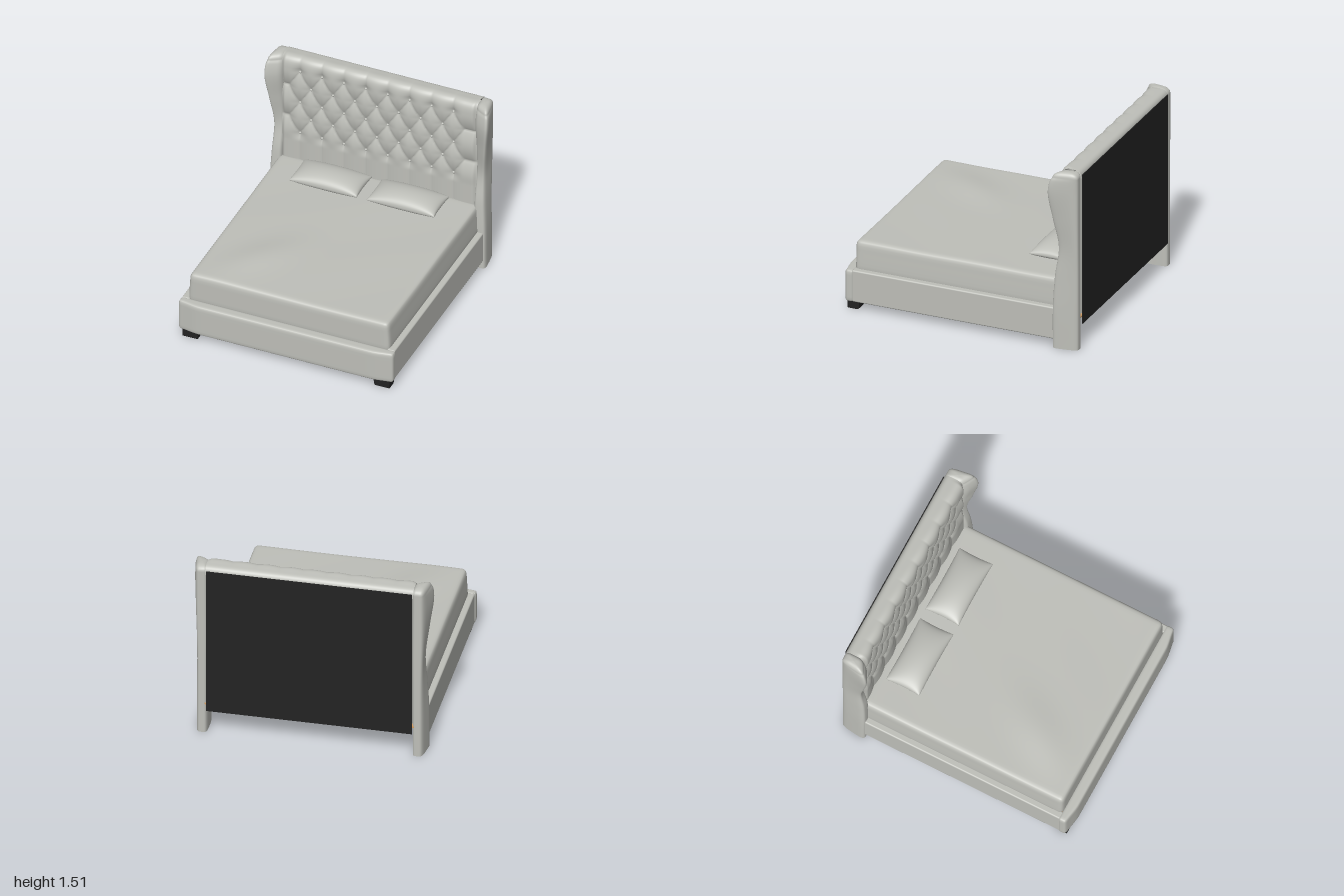
import * as THREE from 'three';
import { mergeVertices } from 'three/addons/utils/BufferGeometryUtils.js';
import { RoundedBoxGeometry } from 'three/addons/geometries/RoundedBoxGeometry.js';

const { clamp, lerp, smoothstep } = THREE.MathUtils;
const softPow = (c, e) => Math.sign(c) * Math.pow(Math.abs(c), e);

const material = (name, color, side = THREE.FrontSide) => {
  const m = new THREE.MeshStandardMaterial({ color, side });
  m.name = name;
  return m;
};

// Move every vertex of a geometry by a rule and rebuild smooth normals
function warp(geometry, rule) {
  const p = geometry.attributes.position, v = new THREE.Vector3();
  for (let i = 0; i < p.count; i++) {
    v.fromBufferAttribute(p, i);
    rule(v);
    p.setXYZ(i, v.x, v.y, v.z);
  }
  geometry.computeVertexNormals();
  return geometry;
}

// Box welded into one skin, so that warping keeps it smooth
function weldedBox(nx, ny, nz) {
  const g = new THREE.BoxGeometry(2, 2, 2, nx, ny, nz);
  g.deleteAttribute('uv');
  g.deleteAttribute('normal');
  return mergeVertices(g);
}

// Upholstered block: rounded edges, then an extra shaping rule
function softBox(half, r, segments, rule) {
  const dense = (u) => u * (1.5 - 0.5 * u * u);
  const inner = half.clone().subScalar(r), low = inner.clone().negate(), core = new THREE.Vector3();
  return warp(weldedBox(...segments), (v) => {
    v.set(dense(v.x), dense(v.y), dense(v.z)).multiply(half);
    core.copy(v).clamp(low, inner);
    v.sub(core).normalize().multiplyScalar(r).add(core);
    rule(v);
  });
}

// Mattress with slightly sloping sides and a softly rumpled top
const mattressGeometry = () => softBox(new THREE.Vector3(0.853, 0.135, 0.885), 0.04, [40, 12, 40], (v) => {
  const top = smoothstep(v.y, 0.08, 0.135);
  const fold = Math.exp(-(((v.x + 0.45 - (0.5 - v.z) * 0.5) / 0.2) ** 2) - ((v.z - 0.45) / 0.3) ** 2);
  v.x *= 1 - 0.012 * smoothstep(v.y, -0.1, 0.135);
  v.y += top * (0.024 * fold + 0.003 * Math.sin(5 * v.x + 4 * v.z) * Math.sin(3 * v.z));
});

// Foot rail whose front falls back a little towards both ends
const frontRailGeometry = () => softBox(new THREE.Vector3(0.908, 0.135, 0.046), 0.024, [48, 12, 12], (v) => {
  v.z -= 0.025 * smoothstep(Math.abs(v.x), 0.72, 0.92) * smoothstep(v.z, -0.046, 0.046);
});

// Pillow: thick in the middle, flat pinched rim, flatter underneath
function pillowGeometry() {
  return warp(weldedBox(32, 2, 24), (v) => {
    const u = Math.sin(v.x * Math.PI / 2), w = Math.sin(v.z * Math.PI / 2);
    const puff = Math.pow((1 - u * u) * (1 - w * w), 0.45);
    v.x = 0.285 * u * (1 - 0.03 * (1 - w * w));
    v.z = 0.146 * w * (1 - 0.03 * (1 - u * u));
    v.y *= 0.003 + (v.y > 0 ? 0.077 : 0.052) * puff;
  });
}

// Diamond tufting, running out into shallow seams above and below
const TUFT = { x: -0.672, y: 0.805, dx: 0.1855, dy: 0.29 };
function tuftHeight(x, y) {
  const u = clamp((x - TUFT.x) / TUFT.dx, -0.5, 7.5);
  const row = (y - TUFT.y) / TUFT.dy, w = clamp(row, 0, 2);
  const a = Math.abs(Math.sin(Math.PI * (u + w))), b = Math.abs(Math.sin(Math.PI * (u - w)));
  const h = 0.02 * Math.sqrt(a * b) + 0.018 * Math.sqrt(Math.max(a, b));
  return lerp(h, 0.034, 0.65 * smoothstep(Math.abs(row - w), 0, 0.25));
}

// Headboard cushion: a sheet running up the front and rolling over to the back
const FRONT_Z = -0.851;
function cushionGeometry() {
  const bottom = 0.29, bend = 1.435, r = 0.072, rise = bend - bottom, length = rise + r * Math.PI;
  return warp(new THREE.PlaneGeometry(1.65, length, 200, 130), (v) => {
    const t = v.y + length / 2;
    const angle = clamp((t - rise) / r, 0, Math.PI);
    const edge = 0.4 + 0.6 * smoothstep(0.825 - Math.abs(v.x), 0, 0.03);
    const d = edge * Math.max(0, 1 - angle / 1.65) * tuftHeight(v.x, bottom + t);
    v.y = bottom + Math.min(t, rise) + (r + d) * softPow(Math.sin(angle), 0.7);
    v.z = FRONT_Z - r + (r + d) * softPow(Math.cos(angle), 0.7);
  });
}

// Wing: rounded cross-sections stacked along a flowing outer/front edge line
function wingGeometry(side) {
  const edge = new THREE.CatmullRomCurve3([
    [0.922, 0, -0.782], [0.92, 0.35, -0.782], [0.907, 0.6, -0.795], [0.895, 0.85, -0.82],
    [0.924, 1.1, -0.773], [0.956, 1.33, -0.739], [0.95, 1.43, -0.757], [0.938, 1.46, -0.775],
  ].map((p) => new THREE.Vector3(...p)));
  const rings = edge.getPoints(48).map((p) => ({ p, s: 1 }));
  rings.unshift({ p: rings[0].p, s: 0 }, { p: rings[0].p, s: 1 });
  const last = edge.getPoint(1);
  for (let k = 1; k <= 8; k++) {
    const a = k / 8 * Math.PI / 2;
    const p = new THREE.Vector3(last.x, last.y + 0.045 * Math.sin(a), last.z);
    rings.push({ p, s: k === 8 ? 0 : Math.pow(Math.cos(a), 0.7) });
  }
  const n = 40, pos = [], index = [];
  rings.forEach(({ p, s }, j) => {
    for (let i = 0; i < n; i++) {
      const a = side * i / n * Math.PI * 2;
      const across = 0.5 + 0.5 * s * softPow(Math.cos(a), 0.48), along = 0.5 + 0.5 * s * softPow(Math.sin(a), 0.48);
      const tall = smoothstep(p.y, 0.6, 1.2);
      const outer = lerp(0.895 + 0.01 * tall, p.x, along);
      const front = p.z - tall * 0.07 * (1 - across);
      pos.push(side * lerp(0.812, outer, across), p.y, lerp(-0.992, front, along));
      if (j === rings.length - 1) continue;
      const q = j * n + i, q1 = j * n + (i + 1) % n;
      index.push(q, q + n, q1, q1, q + n, q1 + n);
    }
  });
  const g = new THREE.BufferGeometry();
  g.setAttribute('position', new THREE.Float32BufferAttribute(pos, 3));
  g.setIndex(index);
  g.computeVertexNormals();
  return g;
}

// Foot: bevelled block tapering towards the floor on its inner side
function footGeometry(side) {
  const shape = new THREE.Shape([[0.755, 0.008], [0.868, 0.008], [0.872, 0.08], [0.742, 0.08]]
    .map(([x, y]) => new THREE.Vector2(side * x, y)));
  return new THREE.ExtrudeGeometry(shape, {
    depth: 0.07, bevelEnabled: true, bevelSize: 0.008, bevelThickness: 0.015, bevelSegments: 2,
  });
}

export function createModel() {
  const fabric = material('grey fabric', 0xbebfb9);
  const fabricSheet = material('grey fabric sheet', 0xbebfb9, THREE.DoubleSide);
  const dark = material('black lining', 0x232323);
  const wood = material('tan wood', 0xd29c62);

  const model = new THREE.Group();
  model.name = 'bed';
  const add = (name, geometry, mat, x = 0, y = 0, z = 0, parent = model) => {
    const mesh = new THREE.Mesh(geometry, mat);
    mesh.name = name;
    mesh.position.set(x, y, z);
    parent.add(mesh);
  };
  const addGroup = (name) => {
    const group = new THREE.Group();
    group.name = name;
    model.add(group);
    return group;
  };

  // Frame
  add('frontRail', frontRailGeometry(), fabric, 0, 0.2, 0.954);
  for (const side of [1, -1]) {
    const label = side > 0 ? 'left' : 'right';
    add(label + 'SideRail', new RoundedBoxGeometry(0.065, 0.268, 1.72, 3, 0.012), fabric, side * 0.868, 0.201, 0.06);
    add(label + 'Ledge', new RoundedBoxGeometry(0.042, 0.042, 1.8, 4, 0.018), wood, side * 0.814, 0.232, 0.01);
    add(label + 'Foot', footGeometry(side), dark, 0, 0, 0.885);
    add(label + 'Wing', wingGeometry(side), fabric);
  }

  // Slats across the frame
  const slats = addGroup('slats');
  const slatGeometry = new THREE.BoxGeometry(1.67, 0.014, 0.078);
  for (let i = 0; i < 17; i++) add('slat', slatGeometry, wood, 0, 0.26, -0.95 + i * 0.112, slats);

  // Mattress and pillows
  add('mattress', mattressGeometry(), fabric, 0, 0.43, 0.032);
  const pillow = pillowGeometry();
  for (const x of [-0.315, 0.34]) add('pillow', pillow, fabric, x, 0.621, -0.613);

  // Headboard with tufted cushion, buttons and rear lining
  const headboard = addGroup('headboard');
  add('headboardCore', new THREE.BoxGeometry(1.64, 1.15, 0.1), fabric, 0, 0.865, -0.943, headboard);
  add('tuftedCushion', cushionGeometry(), fabricSheet, 0, 0, 0, headboard);
  add('backLining', new THREE.BoxGeometry(1.63, 1.27, 0.006), dark, 0, 0.835, -0.997, headboard);
  const button = new THREE.SphereGeometry(0.011, 14, 10);
  for (let row = 0; row < 5; row++) {
    const odd = row % 2;
    for (let i = 0; i < 8 - odd; i++) {
      add('button', button, fabric, TUFT.x + (i + odd / 2) * TUFT.dx, TUFT.y + row * TUFT.dy / 2, FRONT_Z + 0.009, headboard);
    }
  }
  return model;
}
